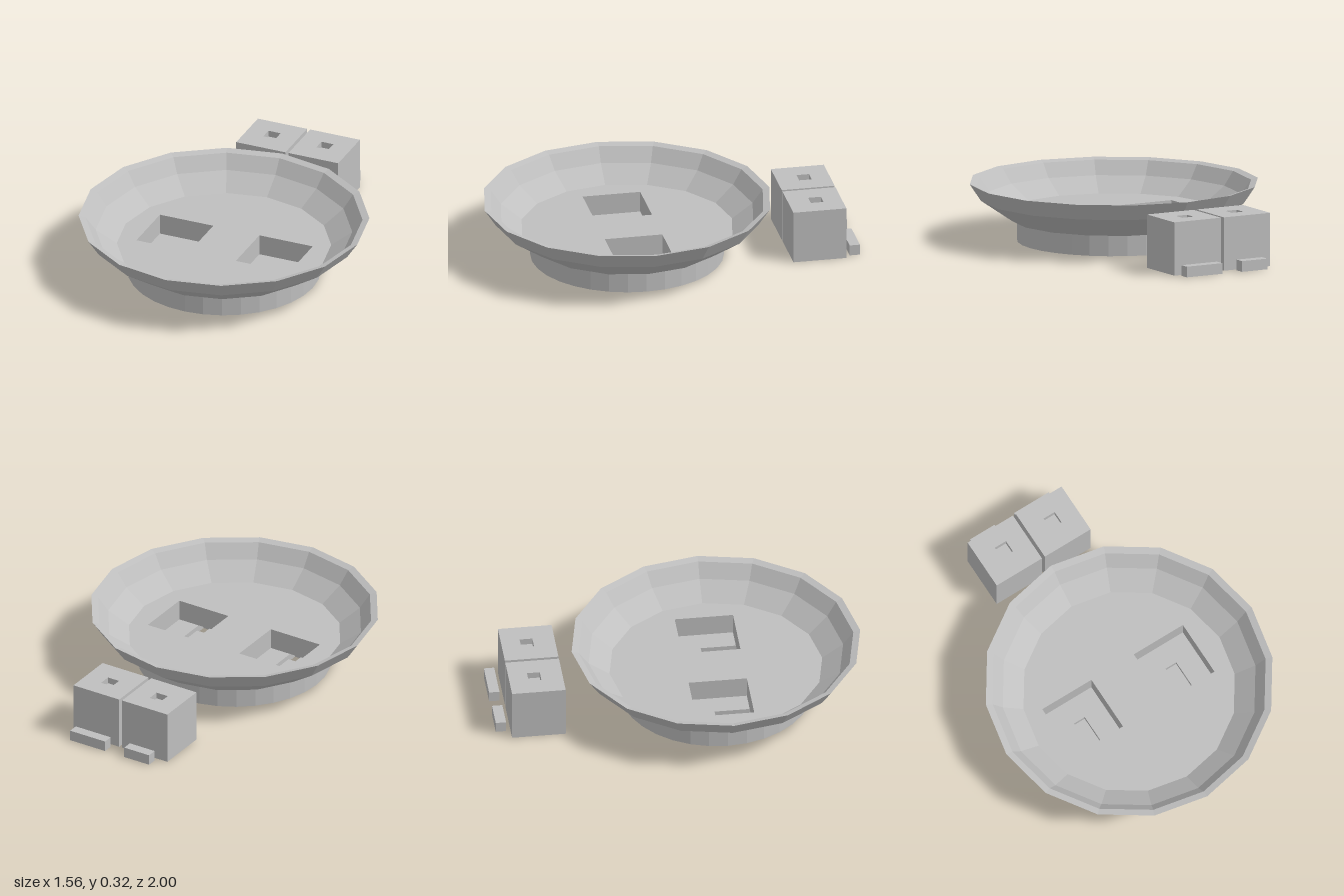
import * as THREE from 'three';

const grey = new THREE.MeshStandardMaterial({ color: 0xbfbfbf, flatShading: true, side: THREE.DoubleSide });
grey.name = 'plain grey';

// Rectangles are [x0, x1, z0, z1]
const rectPoints = ([x0, x1, z0, z1]) =>
  [[x0, -z0], [x0, -z1], [x1, -z1], [x1, -z0]].map(([x, y]) => new THREE.Vector2(x, y));

const circlePoints = (r, n, cz) => Array.from({ length: n }, (_, i) => {
  const a = (i / n) * Math.PI * 2;
  return new THREE.Vector2(r * Math.cos(a), r * Math.sin(a) - cz);
});

function addMesh(parent, name, geometry) {
  const mesh = new THREE.Mesh(geometry, grey);
  mesh.name = name;
  parent.add(mesh);
  return mesh;
}

// Horizontal sheet at height y with rectangular openings
function sheet(parent, name, points, y, holes = [], down = false) {
  const shape = new THREE.Shape(points);
  holes.forEach(h => shape.holes.push(new THREE.Path(rectPoints(h))));
  const g = new THREE.ShapeGeometry(shape).rotateX(-Math.PI / 2).translate(0, y, 0);
  if (down) {
    const index = g.index.array;
    for (let i = 0; i < index.length; i += 3) [index[i], index[i + 1]] = [index[i + 1], index[i]];
    g.computeVertexNormals();
  }
  addMesh(parent, name, g);
}

// Four upright walls around a rectangle, facing inward or outward
function walls(parent, name, [x0, x1, z0, z1], y0, y1, inward = true) {
  const g = new THREE.CylinderGeometry(Math.SQRT1_2, Math.SQRT1_2, 1, 4, 1, true).rotateY(Math.PI / 4);
  g.scale(x1 - x0, y1 - y0, z1 - z0);
  g.translate((x0 + x1) / 2, (y0 + y1) / 2, (z0 + z1) / 2);
  if (inward) {
    const index = g.index.array;
    for (let i = 0; i < index.length; i += 3) [index[i], index[i + 1]] = [index[i + 1], index[i]];
  }
  const flat = g.toNonIndexed();
  flat.computeVertexNormals();
  addMesh(parent, name, flat);
}

const mirrorRect = ([x0, x1, z0, z1], s) => (s > 0 ? [x0, x1, z0, z1] : [-x1, -x0, z0, z1]);

export function createModel() {
  const model = new THREE.Group();
  model.name = 'dishWithBlocks';
  const dish = new THREE.Group();
  dish.name = 'dish';
  model.add(dish);

  const CZ = 0.22, FLOOR = 0.155, WELL = 0.04, GROOVE = 0.015;

  // Sixteen-sided bowl shell: outside, rim and inside in one profile
  const profile = [[0.52, 0.11], [0.55, 0.115], [0.72, 0.23], [0.78, 0.32],
    [0.743, 0.31], [0.688, 0.235], [0.575, FLOOR]].map(p => new THREE.Vector2(...p));
  addMesh(dish, 'bowlShell', new THREE.LatheGeometry(profile, 16).translate(0, 0, CZ));

  // Round foot
  addMesh(dish, 'footWall',
    new THREE.CylinderGeometry(0.52, 0.52, 0.115, 32, 1, true).translate(0, 0.0575, CZ));

  const wells = [], drains = [];
  for (const s of [1, -1]) {
    const side = s > 0 ? 'left' : 'right';
    const well = mirrorRect([0.135, 0.447, 0.055, 0.37], s);
    const slot = mirrorRect([0.257, 0.325, 0.18, 0.37], s);
    const drain = mirrorRect([0.257, 0.325, 0.355, 0.42], s);
    const tunnel = [slot[0], slot[1], 0.18, 0.42];
    wells.push(well);
    drains.push(drain);

    // Square well with a grooved floor leading to a drain hole
    walls(dish, side + 'WellWalls', well, WELL, FLOOR);
    sheet(dish, side + 'WellFloor', rectPoints([well[0], well[1], well[2], 0.425]), WELL, [slot]);
    walls(dish, side + 'GrooveWalls', tunnel, GROOVE, WELL);
    sheet(dish, side + 'GrooveFloor', rectPoints([slot[0], slot[1], 0.18, 0.355]), GROOVE);
    walls(dish, side + 'DrainWalls', drain, 0, GROOVE);
  }
  sheet(dish, 'bowlFloor', circlePoints(0.575, 16, CZ), FLOOR, wells);
  sheet(dish, 'footBottom', circlePoints(0.52, 32, CZ), 0, drains, true);

  // Loose blocks with a shallow socket on top, each with a small bar behind
  const blocks = [
    { side: 'right', body: [-0.3, -0.012, -0.92, -0.63], socket: [-0.193, -0.122, -0.817, -0.748], bar: [-0.235, -0.077] },
    { side: 'left', body: [0.006, 0.297, -0.92, -0.63], socket: [0.117, 0.187, -0.817, -0.748], bar: [0.045, 0.267] },
  ];
  for (const { side, body, socket, bar } of blocks) {
    const block = new THREE.Group();
    block.name = side + 'Block';
    model.add(block);
    walls(block, 'blockSides', body, 0, 0.29, false);
    sheet(block, 'blockTop', rectPoints(body), 0.29, [socket]);
    sheet(block, 'blockBottom', rectPoints(body), 0, [], true);
    walls(block, 'socketWalls', socket, 0.255, 0.29);
    sheet(block, 'socketFloor', rectPoints(socket), 0.255);
    addMesh(model, side + 'Bar', new THREE.BoxGeometry(bar[1] - bar[0], 0.058, 0.056))
      .position.set((bar[0] + bar[1]) / 2, 0.029, -0.972);
  }
  return model;
}
